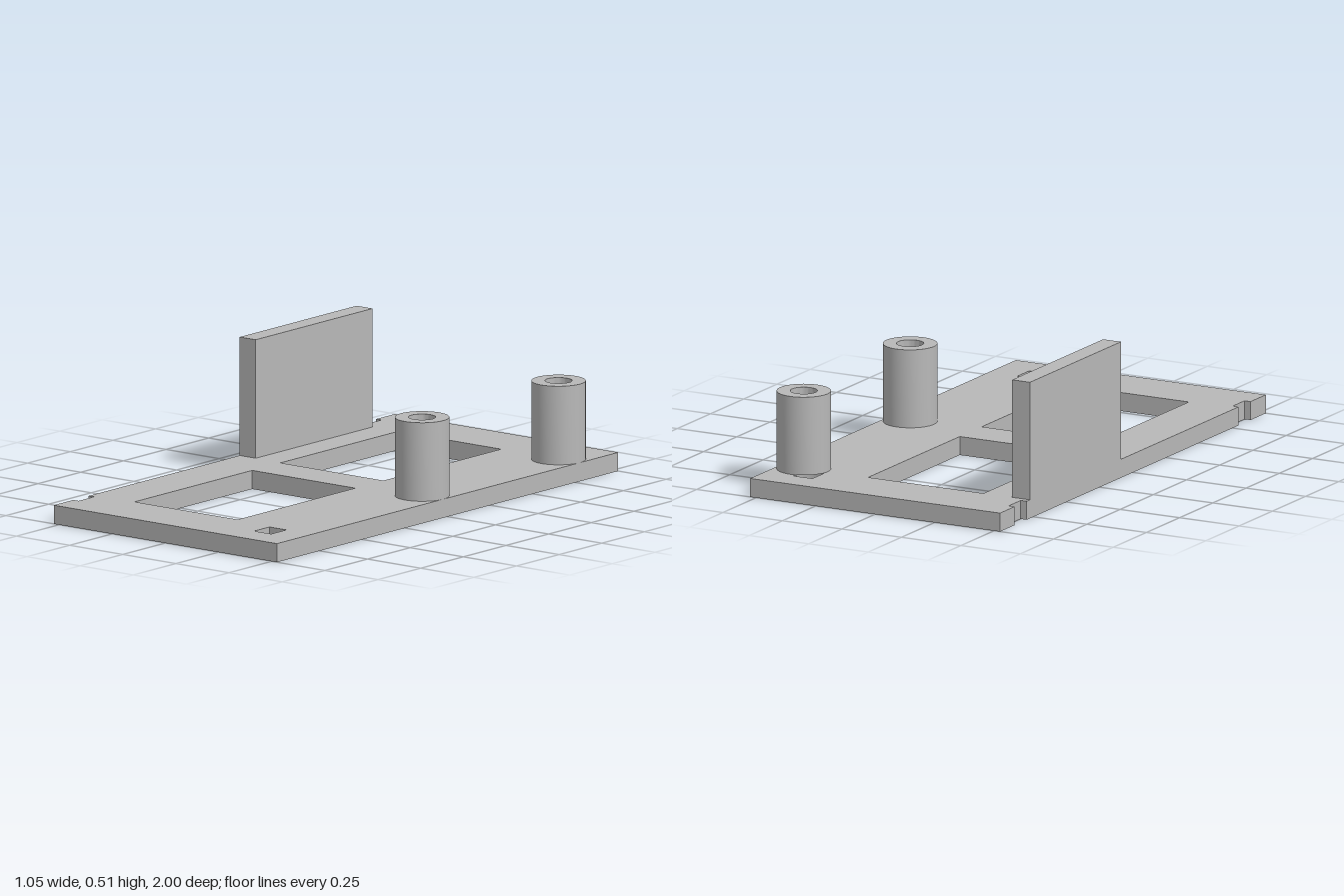
import * as THREE from 'three';
import { toCreasedNormals } from 'three/addons/utils/BufferGeometryUtils.js';

const THICK = 0.07;        // base plate thickness
const POST_X = 0.425;
const POST_Z = [-0.775, 0.025];
const BORE = 0.095;        // plate opening under each post

export function createModel() {
  const group = new THREE.Group();
  const grey = new THREE.MeshStandardMaterial({ color: 0xb8b8b8 });
  grey.name = 'grey plastic';

  const add = (name, geometry) => {
    const mesh = new THREE.Mesh(geometry, grey);
    mesh.name = name;
    group.add(mesh);
    return mesh;
  };
  const rectHole = (x0, x1, z0, z1) => new THREE.Path([
    [x0, z0], [x0, z1], [x1, z1], [x1, z0],
  ].map(([x, z]) => new THREE.Vector2(x, z)));

  // Base plate outline in (x, z), with two small notches on the right edge
  const plate = new THREE.Shape([
    [-0.525, -1], [0.525, -1], [0.525, 1], [-0.525, 1],
    [-0.525, 0.885], [-0.5, 0.885], [-0.5, 0.795], [-0.525, 0.795],
    [-0.525, -0.8], [-0.5, -0.8], [-0.5, -0.89], [-0.525, -0.89],
  ].map(([x, z]) => new THREE.Vector2(x, z)));

  // Two large windows and the front square slot
  plate.holes.push(
    rectHole(-0.33, 0.155, -0.775, -0.085),
    rectHole(-0.33, 0.155, 0.08, 0.77),
    rectHole(0.325, 0.405, 0.795, 0.885),
  );

  // Round opening under the front post
  plate.holes.push(new THREE.Path().absarc(POST_X, POST_Z[1], BORE, 0, Math.PI * 2));

  // Rear opening, where the round bore runs into the rear square slot
  const start = -Math.PI + Math.acos(0.02 / BORE);
  const end = Math.PI + Math.asin(0.025 / BORE);
  const rear = new THREE.Path().absarc(POST_X, POST_Z[0], BORE, start, end);
  rear.lineTo(0.325, -0.8).lineTo(0.325, -0.89).lineTo(0.405, -0.89);
  rear.closePath();
  plate.holes.push(rear);

  const plateGeometry = new THREE.ExtrudeGeometry(plate, {
    depth: THICK, bevelEnabled: false, curveSegments: 24,
  });
  plateGeometry.rotateX(Math.PI / 2).translate(0, THICK, 0);
  add('basePlate', toCreasedNormals(plateGeometry, 0.6));

  // Upright wall on the right edge
  const wall = add('sideWall', new THREE.BoxGeometry(0.075, 0.445, 0.685));
  wall.position.set(-0.4875, THICK + 0.2225, -0.4325);

  // Hollow posts
  const profile = [[0.05, 0], [0.1, 0], [0.1, 0.295], [0.05, 0.295], [0.05, 0]]
    .map(([r, y]) => new THREE.Vector2(r, y));
  const postGeometry = toCreasedNormals(new THREE.LatheGeometry(profile, 48), 0.6);
  POST_Z.forEach((z, i) => {
    add(i ? 'frontPost' : 'rearPost', postGeometry).position.set(POST_X, THICK, z);
  });

  return group;
}
